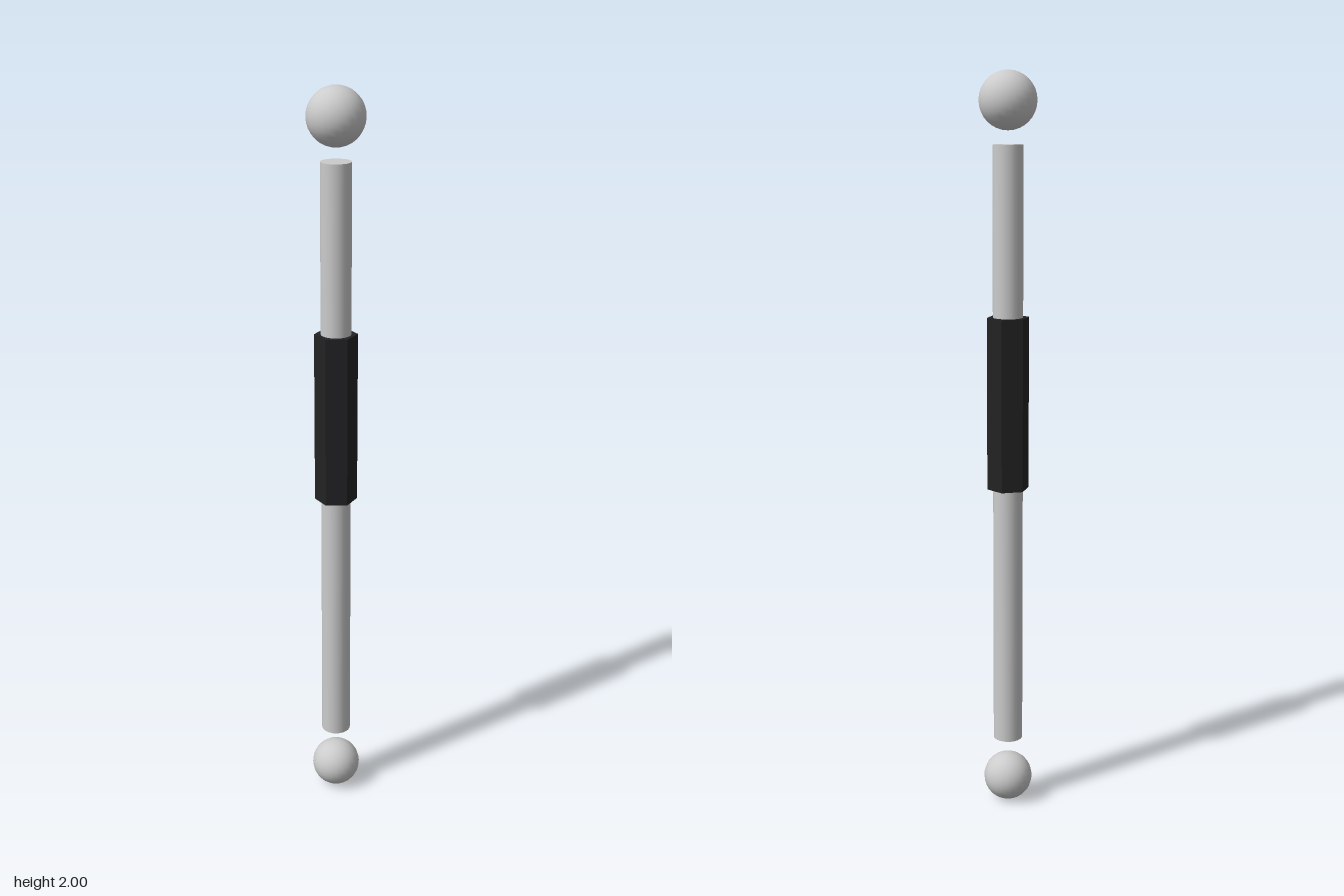
import * as THREE from 'three';

export function createModel() {
  const group = new THREE.Group();
  const grey = new THREE.MeshStandardMaterial({ color: 0xcccccc });
  const dark = new THREE.MeshStandardMaterial({ color: 0x222224, flatShading: true });

  const add = (name, geometry, material, y) => {
    const mesh = new THREE.Mesh(geometry, material);
    mesh.name = name;
    mesh.position.y = y;
    group.add(mesh);
    return mesh;
  };

  // Long round shaft
  add('shaft', new THREE.CylinderGeometry(0.04, 0.04, 1.63, 24), grey, 1.0);

  // Hexagonal grip, corners pointing to the sides
  const grip = add('grip', new THREE.CylinderGeometry(0.057, 0.057, 0.464, 6), dark, 1.139);
  grip.rotation.y = Math.PI / 6;

  // Balls floating just off each end, the upper one larger
  add('topBall', new THREE.SphereGeometry(0.075, 24, 16), grey, 1.925);
  add('bottomBall', new THREE.SphereGeometry(0.067, 24, 16), grey, 0.067);

  return group;
}
